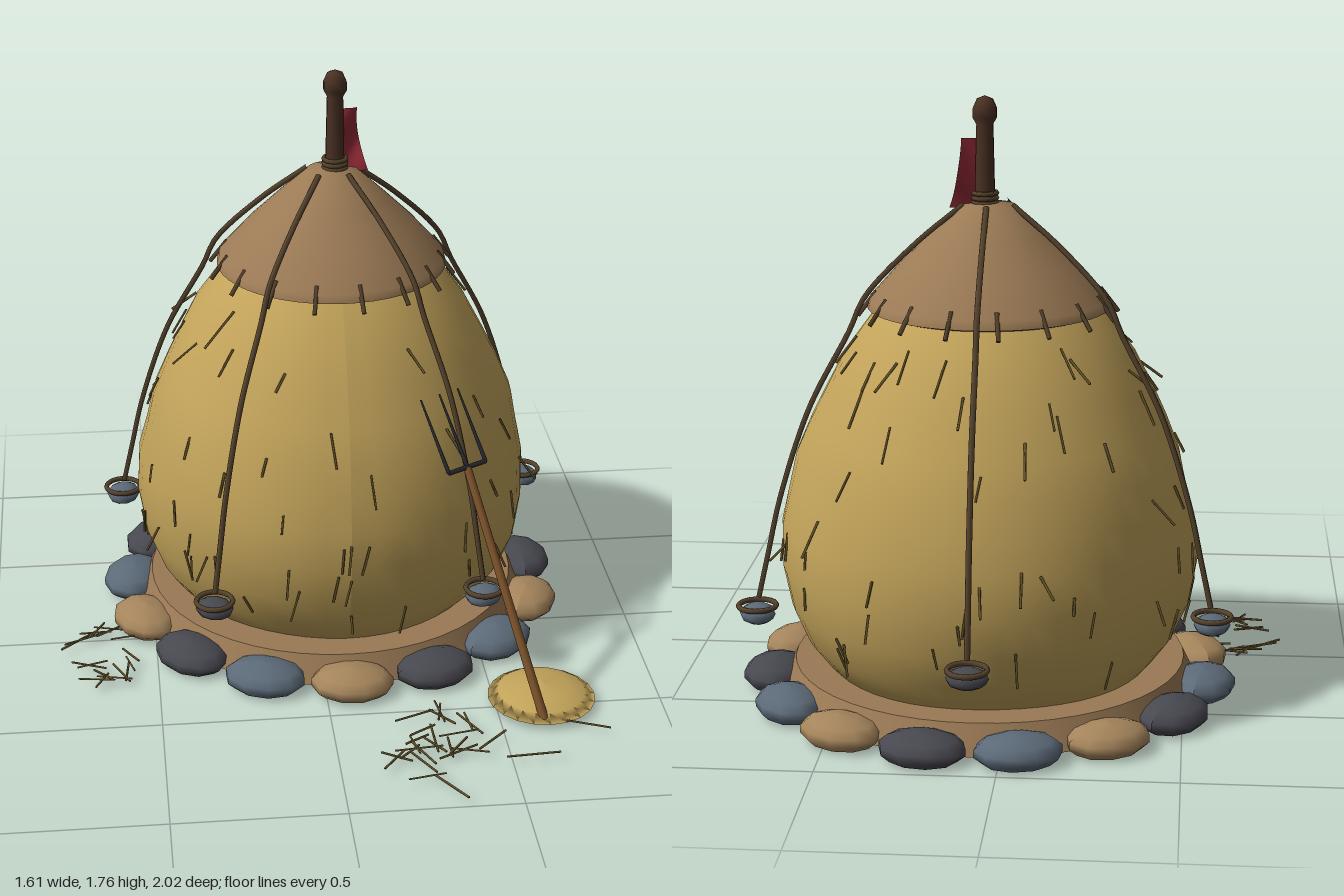
import * as THREE from 'three';

const V = (x, y, z) => new THREE.Vector3(x, y, z);
const mat = (color, extra = {}) => new THREE.MeshStandardMaterial({ color, ...extra });
const straw = mat(0xc2a35a), darkStraw = mat(0x66542a), hide = mat(0x9b7a55), rope = mat(0x54422c);
const wood = mat(0x4a3123), shaft = mat(0x80552c), iron = mat(0x26292d);
const rocks = [mat(0xa5855c), mat(0x484850), mat(0x5c6a78)];

let seed = 11;
const rand = (a = 0, b = 1) => {
  seed = (seed * 16807) % 2147483647;
  return a + (b - a) * seed / 2147483647;
};

function add(parent, name, geometry, material, x = 0, y = 0, z = 0) {
  const m = new THREE.Mesh(geometry, material);
  m.name = name;
  m.position.set(x, y, z);
  parent.add(m);
  return m;
}

// Round rod between two points
function rod(parent, name, a, b, r, material, sides = 6, rEnd = r) {
  const m = add(parent, name, new THREE.CylinderGeometry(rEnd, r, a.distanceTo(b), sides), material);
  m.position.copy(a).lerp(b, 0.5);
  m.quaternion.setFromUnitVectors(V(0, 1, 0), b.clone().sub(a).normalize());
  return m;
}

const polar = (a, r, y) => V(Math.sin(a) * r, y, Math.cos(a) * r);
const lathe = (pts, n = 48) => new THREE.LatheGeometry(pts.map(p => new THREE.Vector2(...p)), n);

// Radius of the stack against height
const profile = [[0.08, 0.47], [0.12, 0.51], [0.18, 0.55], [0.28, 0.595], [0.4, 0.61], [0.52, 0.605], [0.62, 0.587],
  [0.72, 0.56], [0.82, 0.522], [0.92, 0.475], [1.02, 0.42], [1.1, 0.365], [1.18, 0.3], [1.3, 0.17], [1.4, 0.06]];
function stackRadius(y) {
  const i = Math.min(profile.length - 2, Math.max(0, profile.findIndex(p => p[0] > y) - 1));
  const [a, b] = [profile[i], profile[i + 1]];
  return a[1] + (b[1] - a[1]) * (y - a[0]) / (b[0] - a[0]);
}

function buildStack(g) {
  add(g, 'baseDisc', new THREE.CylinderGeometry(0.58, 0.62, 0.085, 48), hide, 0, 0.0525, 0);

  // Straw body with gentle lumps
  const body = lathe(profile.map(([y, r]) => [r, y]));
  const p = body.attributes.position;
  for (let i = 0; i < p.count; i++) {
    const a = Math.atan2(p.getX(i), p.getZ(i)), y = p.getY(i);
    const k = 1 + 0.007 * Math.sin(a * 5 + y * 9) + 0.006 * Math.sin(y * 38);
    p.setXYZ(i, p.getX(i) * k, y, p.getZ(i) * k);
  }
  body.computeVertexNormals();
  add(g, 'strawBody', body, straw);

  // Loose wisps on the body
  const wisps = new THREE.Group();
  wisps.name = 'strawWisps';
  g.add(wisps);
  for (let i = 0; i < 90; i++) {
    const a = rand(0, Math.PI * 2), y = i < 45 ? rand(0.22, 0.55) : rand(0.5, 1.1), len = rand(0.05, 0.1);
    const out = i % 3 ? 0.012 : 0.05;
    rod(wisps, 'wisp', polar(a, stackRadius(y) + 0.005, y),
      polar(a + rand(-0.04, 0.04), stackRadius(y - len) + out, y - len), 0.004, darkStraw, 4);
  }

  // Hide cap, its rim and pegs
  add(g, 'cap', lathe([[0.352, 1.155], [0.345, 1.18], [0.26, 1.275], [0.17, 1.362], [0.075, 1.45], [0, 1.46]]),
    mat(0x9b7a55, { side: THREE.DoubleSide }));
  const rim = add(g, 'capRim', new THREE.TorusGeometry(0.325, 0.008, 6, 48), rope, 0, 1.155, 0);
  rim.rotation.x = Math.PI / 2;
  for (let i = 0; i < 16; i++) {
    const a = (i + 0.4) * Math.PI / 8;
    rod(g, 'capPeg', polar(a, 0.325, 1.2), polar(a, 0.378, 1.13), 0.007, rope, 5);
  }

  // Centre pole with rounded head and lashing
  const pole = lathe([[0.034, 1.38], [0.029, 1.5], [0.025, 1.68], [0.036, 1.7], [0.036, 1.725], [0.024, 1.752], [0, 1.762]], 10);
  add(g, 'pole', pole, wood, 0.01, 0, 0);
  for (let i = 0; i < 3; i++) {
    const t = add(g, 'poleLashing', new THREE.TorusGeometry(0.034, 0.007, 6, 16), rope, 0.01, 1.455 + i * 0.014, 0);
    t.rotation.x = Math.PI / 2;
  }

  // Rippled pennant hanging from the pole
  const cloth = new THREE.PlaneGeometry(1, 1, 4, 12);
  const c = cloth.attributes.position;
  for (let i = 0; i < c.count; i++) {
    const u = c.getX(i) + 0.5, v = 0.5 - c.getY(i);
    c.setXYZ(i, 0.03 + u * (0.047 + 0.035 * v * v), 1.64 - 0.2 * v,
      -0.025 * u + 0.018 * Math.sin(v * 6 + u * 2) * (0.4 + 0.6 * u));
  }
  cloth.computeVertexNormals();
  add(g, 'pennant', cloth, mat(0x962b38, { side: THREE.DoubleSide }));

  // Ring of foundation stones
  for (let i = 0; i < 15; i++) {
    const geo = new THREE.SphereGeometry(1, 10, 7);
    const q = geo.attributes.position;
    for (let j = 0; j < q.count; j++) q.setY(j, Math.max(q.getY(j), -0.7));
    geo.computeVertexNormals();
    const a = i * Math.PI * 2 / 15;
    const s = add(g, 'foundationStone', geo, rocks[i % 3]);
    s.position.copy(polar(a, 0.64, 0.036));
    s.scale.set(0.128, 0.05, 0.098);
    s.rotation.y = a + rand(-0.1, 0.1);
  }

  // Ropes over the stack, each with a hanging stone weight
  for (let i = 0; i < 5; i++) {
    const a = (i + 0.5) * Math.PI * 0.4;
    const path = new THREE.CatmullRomCurve3([[0.075, 1.452], [0.22, 1.34], [0.365, 1.195], [0.41, 1.1], [0.53, 0.88],
      [0.62, 0.62], [0.66, 0.45], [0.69, 0.32]].map(([r, y]) => polar(a, r, y)));
    add(g, 'rope', new THREE.TubeGeometry(path, 40, 0.0085, 6), rope);
    const weight = new THREE.Group();
    weight.name = 'ropeWeight';
    weight.position.copy(polar(a, 0.695, 0.27));
    weight.rotation.y = a;
    g.add(weight);
    const s = add(weight, 'weightStone', new THREE.SphereGeometry(1, 10, 6), rocks[i === 2 || i === 4 ? 1 : 2]);
    s.scale.set(0.06, 0.03, 0.052);
    const band = add(weight, 'weightBand', new THREE.TorusGeometry(0.055, 0.008, 6, 20), rope, 0, 0.024, 0);
    band.rotation.x = Math.PI / 2;
  }
}

function buildFork(g) {
  const foot = V(0.625, 0.02, 0.615), head = V(0.425, 0.71, 0.3);
  rod(g, 'forkHandle', foot, head, 0.014, shaft, 8, 0.012);
  const half = V(0.06, 0, -0.035), reach = V(-0.07, 0.185, -0.12);
  rod(g, 'forkCrossbar', head.clone().sub(half), head.clone().add(half), 0.008, iron);
  for (const k of [-1, 0, 1]) {
    const start = head.clone().addScaledVector(half, k);
    rod(g, 'forkTine', start, start.clone().add(reach), 0.007, iron, 6, 0.003);
  }
}

// Flat scatter of loose stalks within an ellipse
function scatter(g, cx, cz, rx, rz, count) {
  for (let i = 0; i < count; i++) {
    const t = rand(0, Math.PI * 2), d = Math.sqrt(rand()), a = rand(0, Math.PI), l = rand(0.04, 0.075);
    const m = V(cx + Math.cos(t) * d * rx, 0.025, cz + Math.sin(t) * d * rz), h = V(Math.cos(a) * l, 0, Math.sin(a) * l);
    rod(g, 'looseStalk', m.clone().sub(h), m.clone().add(h), 0.0035, darkStraw, 4);
  }
}

export function createModel() {
  const model = new THREE.Group();
  model.name = 'haystack';
  const stack = new THREE.Group();
  stack.name = 'stack';
  stack.position.set(0.08, 0, -0.27);
  model.add(stack);
  buildStack(stack);

  const fork = new THREE.Group();
  fork.name = 'pitchfork';
  model.add(fork);
  buildFork(fork);

  // Small heap beside the stack
  add(model, 'strawHeap', lathe([[0, 0.02], [0.162, 0.02], [0.13, 0.04], [0.08, 0.058], [0, 0.068]], 20), straw, 0.64, 0, 0.48);

  const loose = new THREE.Group();
  loose.name = 'looseStraw';
  model.add(loose);
  scatter(loose, -0.66, 0.12, 0.12, 0.16, 17);
  scatter(loose, 0.32, 0.66, 0.16, 0.12, 18);
  scatter(loose, 0.22, 0.82, 0.08, 0.08, 6);
  rod(loose, 'looseStalk', V(0.26, 0.025, 0.87), V(0.34, 0.025, 0.99), 0.0035, darkStraw, 4);
  rod(loose, 'looseStalk', V(0.48, 0.025, 0.8), V(0.64, 0.025, 0.79), 0.0035, darkStraw, 4);
  rod(loose, 'looseStalk', V(0.69, 0.025, 0.63), V(0.81, 0.025, 0.68), 0.0035, darkStraw, 4);
  return model;
}
